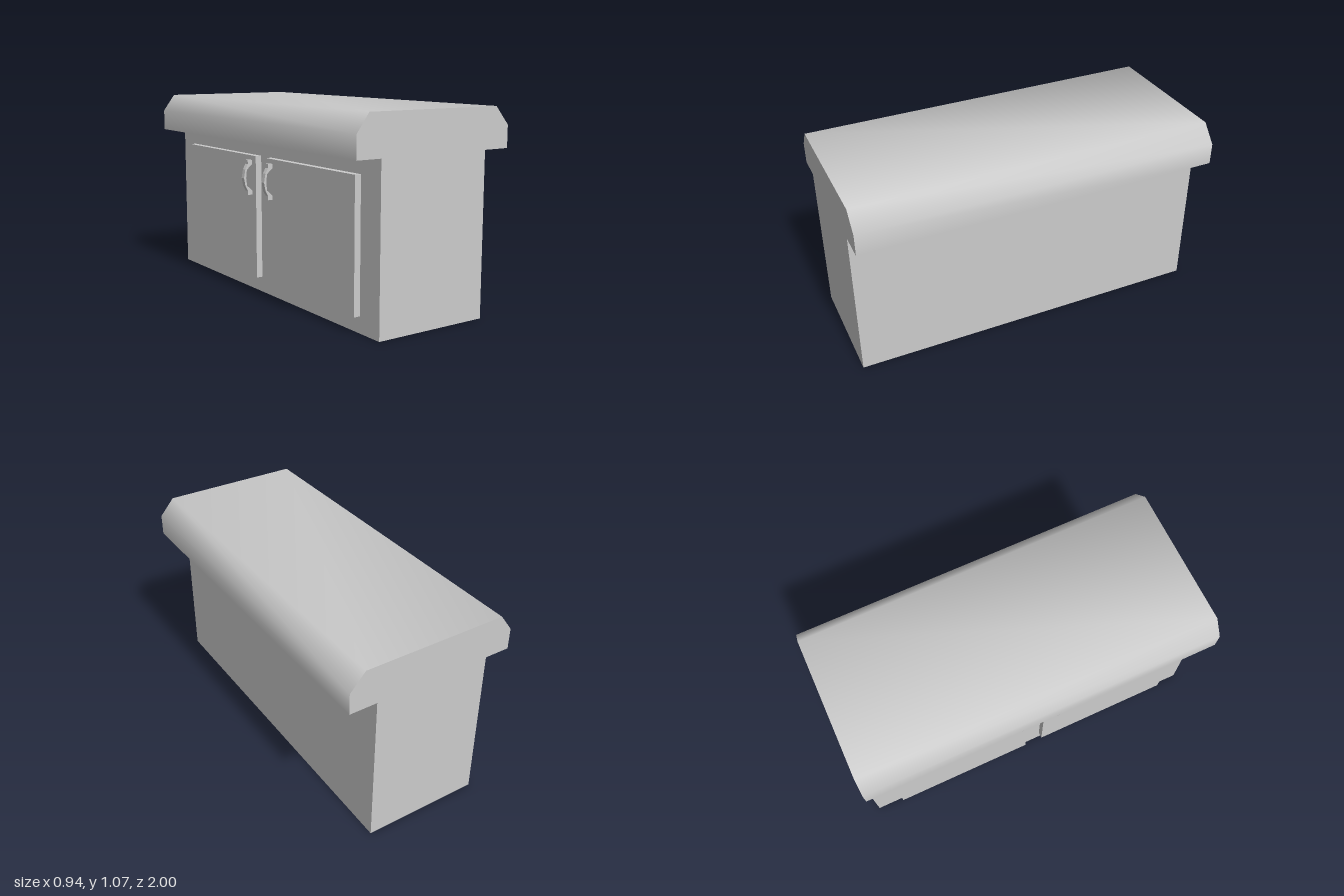
import * as THREE from 'three';
import { toCreasedNormals } from 'three/addons/utils/BufferGeometryUtils.js';

const material = new THREE.MeshStandardMaterial({ color: 0xcccccc });
const shellMaterial = new THREE.MeshStandardMaterial({ color: 0xcccccc, side: THREE.DoubleSide });

// Cross-section of cabinet and overhanging worktop, left open at the floor
const profile = [
  [-0.33, 0], [-0.33, 0.855], [-0.47, 0.855], [-0.47, 0.972], [-0.4, 1.067],
  [0.387, 1.067], [0.47, 0.972], [0.47, 0.855], [0.317, 0.855], [0.317, 0],
];

// Arched pull handle with two square feet
const handleProfile = [
  [-0.365, 0.743], [-0.392, 0.743], [-0.392, 0.722], [-0.408, 0.693], [-0.417, 0.645],
  [-0.408, 0.6], [-0.392, 0.572], [-0.392, 0.55], [-0.365, 0.55], [-0.365, 0.573],
  [-0.398, 0.602], [-0.403, 0.645], [-0.398, 0.691], [-0.365, 0.72],
];

const toShape = (points) => new THREE.Shape(points.map(([x, y]) => new THREE.Vector2(x, y)));

function mesh(name, geometry, mat = material) {
  const m = new THREE.Mesh(geometry, mat);
  m.name = name;
  return m;
}

// Sweeps the open profile along z, smoothing the bevelled worktop edges
function sweep(points, halfLength) {
  const positions = [];
  for (let i = 0; i < points.length - 1; i++) {
    const a = [...points[i], halfLength], b = [...points[i + 1], halfLength];
    const c = [...points[i + 1], -halfLength], d = [...points[i], -halfLength];
    positions.push(...a, ...b, ...c, ...a, ...c, ...d);
  }
  const geometry = new THREE.BufferGeometry();
  geometry.setAttribute('position', new THREE.Float32BufferAttribute(positions, 3));
  geometry.computeVertexNormals();
  return toCreasedNormals(geometry, 1.05);
}

export function createModel() {
  const group = new THREE.Group();
  group.name = 'counter';

  // Hollow cabinet with worktop
  group.add(mesh('cabinetAndWorktop', sweep(profile, 1), shellMaterial));
  const frontEnd = mesh('frontEndPanel', new THREE.ShapeGeometry(toShape(profile)), shellMaterial);
  frontEnd.position.z = 1;
  const mirrored = profile.map(([x, y]) => [-x, y]);
  const backEnd = mesh('backEndPanel', new THREE.ShapeGeometry(toShape(mirrored)), shellMaterial);
  backEnd.rotation.y = Math.PI;
  backEnd.position.z = -1;
  group.add(frontEnd, backEnd);

  // Two deep door blocks with handles near the middle
  const handleWidth = 0.026;
  for (const [side, label] of [[-1, 'back'], [1, 'front']]) {
    const door = mesh(label + 'Door', new THREE.BoxGeometry(0.515, 0.683, 0.797));
    door.position.set(-0.1075, 0.4265, side * 0.452);
    const handle = mesh(label + 'Handle', new THREE.ExtrudeGeometry(toShape(handleProfile), {
      depth: handleWidth, bevelEnabled: false,
    }));
    handle.position.z = side * 0.107 - handleWidth / 2;
    group.add(door, handle);
  }
  return group;
}
